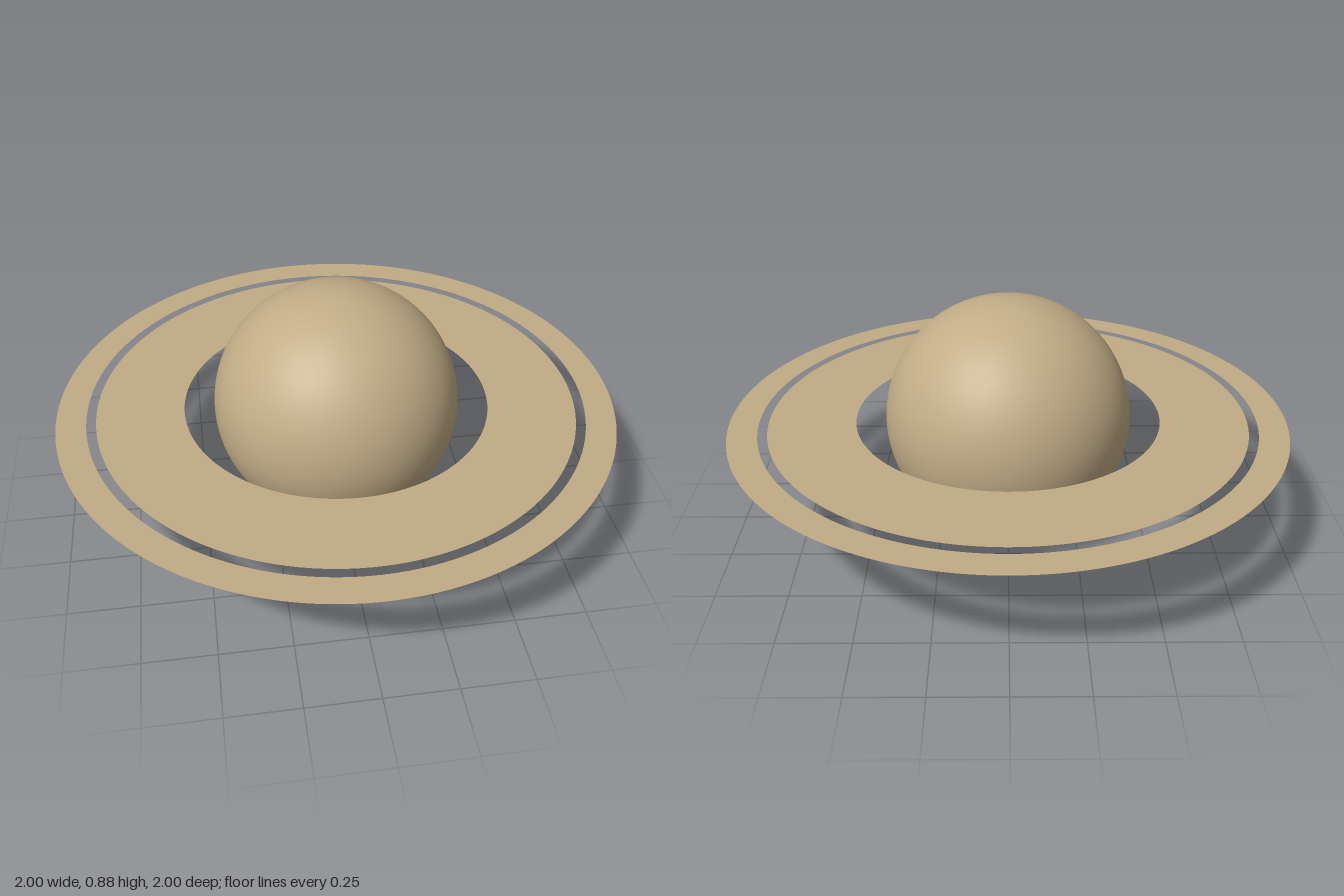
import * as THREE from 'three';

export function createModel() {
  const model = new THREE.Group();
  model.name = 'ringedPlanet';

  const sand = new THREE.MeshStandardMaterial({ color: 0xc2ac86, side: THREE.DoubleSide });
  sand.name = 'sand';

  const radius = 0.44;

  // Planet globe, resting on the ground plane
  const globe = new THREE.Mesh(new THREE.SphereGeometry(radius, 96, 64), sand);
  globe.name = 'globe';
  globe.position.y = radius;
  model.add(globe);

  // Paper-thin flat rings around the equator
  const addRing = (name, inner, outer) => {
    const ring = new THREE.Mesh(new THREE.RingGeometry(inner, outer, 192), sand);
    ring.name = name;
    ring.rotation.x = -Math.PI / 2;
    ring.position.y = radius;
    model.add(ring);
  };
  addRing('innerRing', 0.548, 0.86);
  addRing('outerRing', 0.894, 1);

  return model;
}
